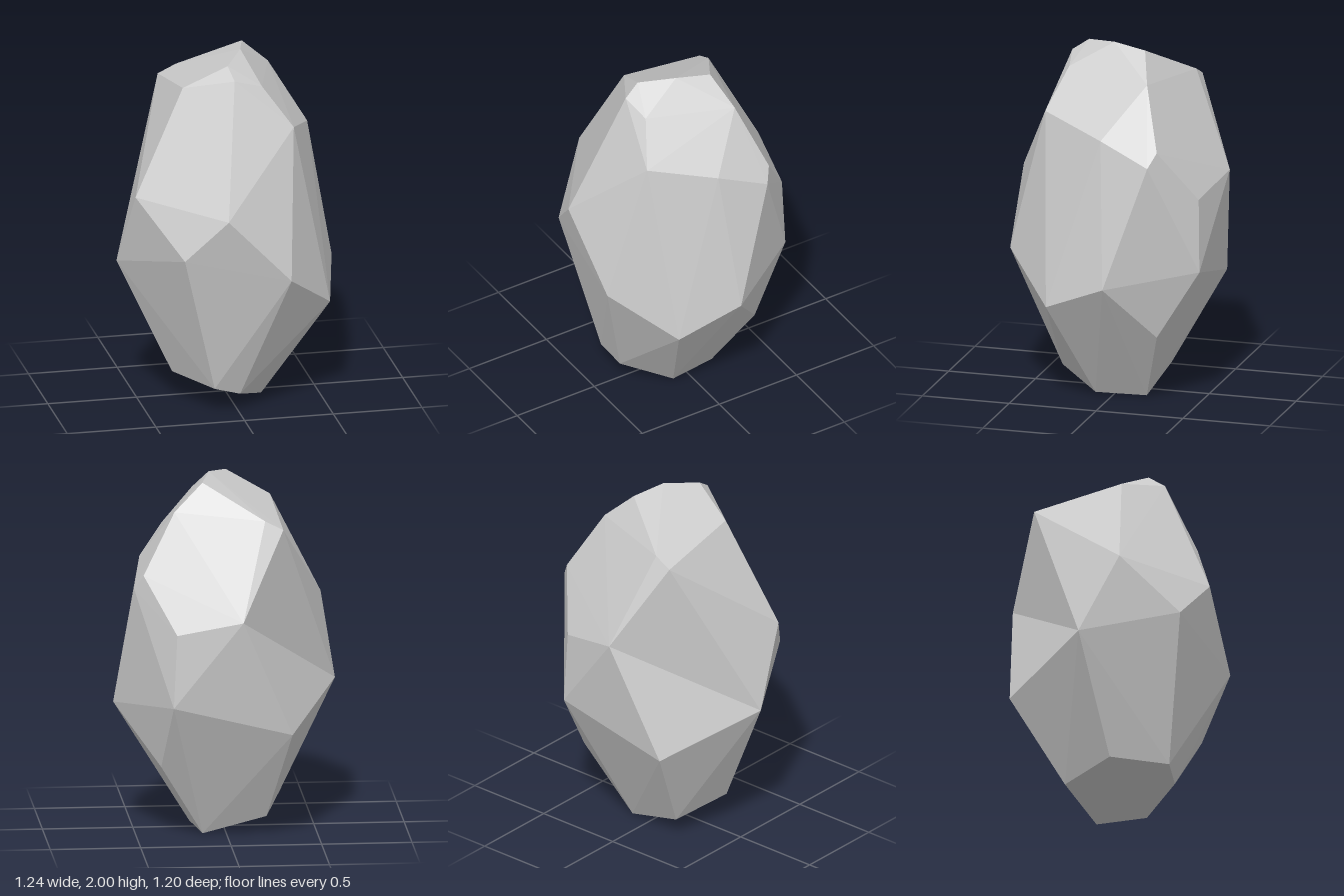
import * as THREE from 'three';
import { ConvexGeometry } from 'three/addons/geometries/ConvexGeometry.js';

// Corner points of the boulder, grouped by region
const crown = [
  [0.08, 2.0, 0.02], [0.13, 1.98, -0.17], [-0.03, 1.97, 0.2], [-0.01, 1.91, 0.29],
  [0.15, 1.86, 0.26], [-0.27, 1.84, 0.14], [0.29, 1.83, -0.23],
  [0.31, 1.64, 0.35], [0.465, 1.54, -0.015], [0.52, 1.42, -0.3],
];
const backLedge = [[-0.2, 1.8, -0.365], [-0.3, 1.75, -0.37], [0.47, 1.5, -0.34]];
const waist = [
  [-0.56, 1.26, 0.25], [-0.11, 1.2, 0.6], [-0.34, 0.96, 0.52], [-0.62, 0.82, 0.03],
  [0.25, 0.82, 0.57], [0.615, 0.73, -0.07], [-0.06, 1.28, -0.6], [0.3, 1.2, -0.53],
];
const flank = [[0.32, 0.79, -0.54], [-0.34, 0.62, -0.5], [0.53, 0.58, 0.28], [0.37, 0.41, -0.31]];
const foot = [
  [-0.32, 0.17, 0.09], [-0.14, 0.15, 0.37], [0.01, 0.1, 0.34],
  [0.18, 0.01, 0.1], [0.13, 0, -0.18], [-0.22, 0.1, -0.22],
];

export function createModel() {
  const group = new THREE.Group();
  group.name = 'rock';
  const material = new THREE.MeshStandardMaterial({ color: 0xcccccc, flatShading: true });

  const addLobe = (name, ...regions) => {
    const points = regions.flat().map((p) => new THREE.Vector3(...p));
    const mesh = new THREE.Mesh(new ConvexGeometry(points), material);
    mesh.name = name;
    group.add(mesh);
  };

  // Two overlapping faceted lobes leave a shallow hollow between them at the back
  addLobe('upperRock', crown, backLedge, waist);
  addLobe('lowerRock', crown, waist, flank, foot);
  return group;
}
